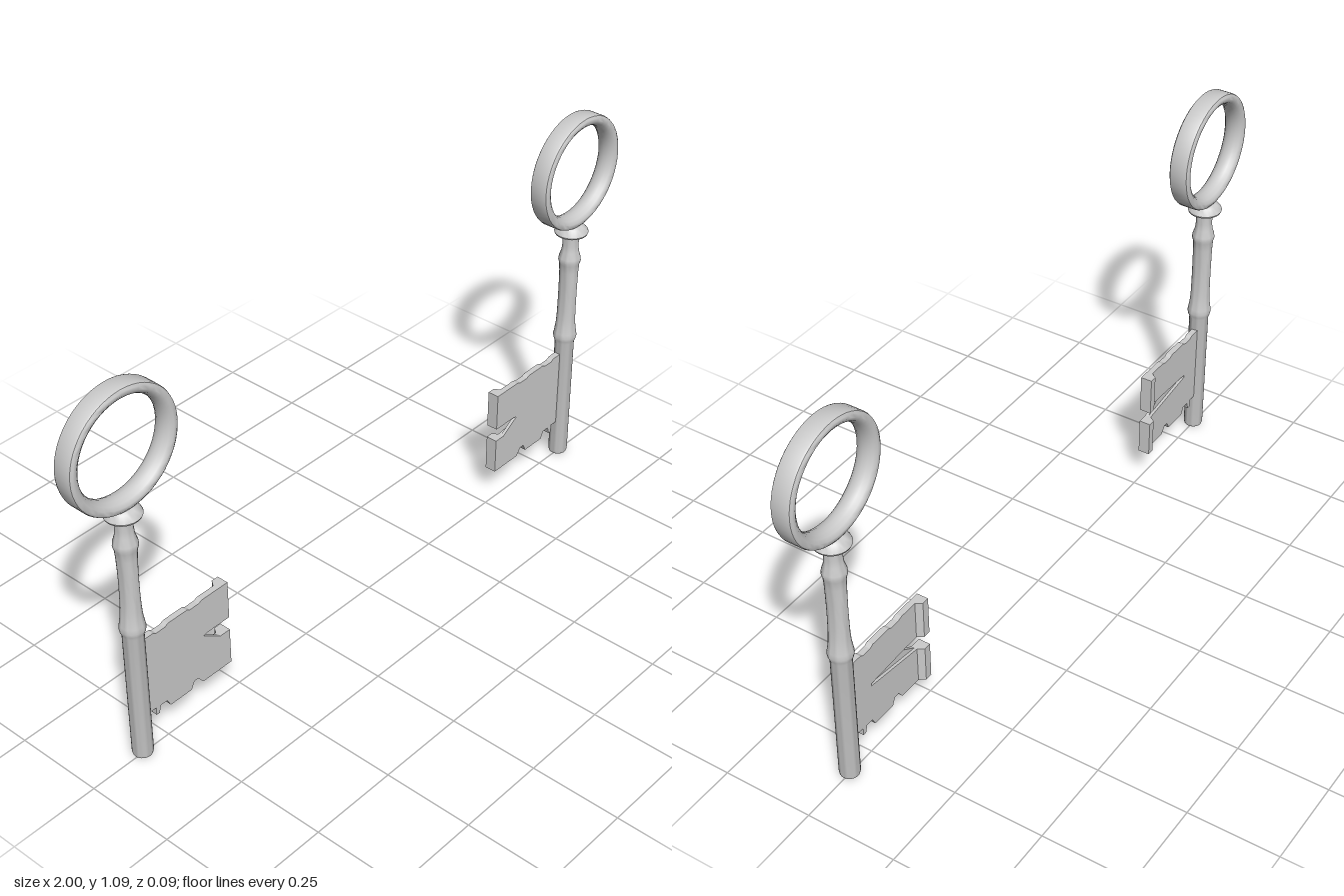
import * as THREE from 'three';
import { toCreasedNormals } from 'three/addons/utils/BufferGeometryUtils.js';

const material = new THREE.MeshStandardMaterial({ color: 0xcccccc });
const v2 = (points) => points.map(([x, y]) => new THREE.Vector2(x, y));

function addMesh(group, name, geometry, crease = 0.6) {
  const mesh = new THREE.Mesh(toCreasedNormals(geometry, crease), material);
  mesh.name = name;
  group.add(mesh);
  return mesh;
}

// Ring handle: a flat outer band with a rounded inside, turned about z
function ringGeometry() {
  const half = [[0.129, 0], [0.131, 0.012], [0.137, 0.023], [0.146, 0.029], [0.155, 0.029], [0.161, 0.025], [0.163, 0.02]];
  const lower = half.map(([r, z]) => [r, -z]);
  const upper = half.slice().reverse();
  return new THREE.LatheGeometry(v2([...lower, ...upper]), 56).rotateX(Math.PI / 2);
}

// Shaft: turned profile, hollowed gently on its two sides between the collars
function shaftGeometry() {
  const profile = [[0, 0], [0.019, 0], [0.025, 0.005], [0.027, 0.013], [0.027, 0.385], [0.031, 0.396], [0.033, 0.406], [0.031, 0.418], [0.028, 0.44]];
  for (let i = 1; i < 8; i++) profile.push([0.027, 0.44 + i * 0.025]);
  profile.push([0.028, 0.64], [0.031, 0.65], [0.03, 0.66], [0.024, 0.68], [0.022, 0.7], [0.023, 0.728]);
  const geometry = new THREE.LatheGeometry(v2(profile), 28);
  const p = geometry.attributes.position;
  for (let i = 0; i < p.count; i++) {
    const t = (p.getY(i) - 0.43) / 0.215;
    if (t > 0 && t < 1) p.setX(i, p.getX(i) * (1 - 0.18 * Math.sin(Math.PI * t)));
  }
  return geometry;
}

// Disc collar between shaft and ring
function collarGeometry() {
  return new THREE.LatheGeometry(v2([[0, 0.724], [0.023, 0.724], [0.03, 0.732], [0.045, 0.736], [0.047, 0.741],
    [0.045, 0.746], [0.034, 0.758], [0.024, 0.766], [0, 0.769]]), 28);
}

// One layer of the notched bit; slotTip is how far the side slot reaches towards the shaft
function bitLayer(dir, slot, zBack, depth) {
  const outline = [
    [0.01, 0.118], [0.048, 0.118], [0.048, 0.095], [0.058, 0.095], [0.064, 0.116], [0.085, 0.116], [0.096, 0.095],
    [0.168, 0.095], [0.178, 0.116], [0.192, 0.116], [0.208, 0.095], [0.307, 0.095], [0.307, 0.2],
    ...slot, [0.307, 0.24],
    [0.307, 0.351], [0.22, 0.351], [0.206, 0.346], [0.178, 0.346], [0.168, 0.351], [0.105, 0.351], [0.094, 0.345],
    [0.066, 0.345], [0.056, 0.351], [0.01, 0.351],
  ].map(([u, y]) => [dir * u, y]);
  return new THREE.ExtrudeGeometry(new THREE.Shape(v2(outline)), { depth, bevelEnabled: false }).translate(0, 0, zBack);
}

// Thickened lip at the free end of the bit, on the back side
function lipGeometry(dir, y0, y1) {
  const section = [[0.307, 0], [0.307, 0.027], [0.286, 0.027], [0.274, 0.01], [0.274, 0]].map(([u, z]) => [dir * u, z]);
  return new THREE.ExtrudeGeometry(new THREE.Shape(v2(section)), { depth: y1 - y0, bevelEnabled: false })
    .rotateX(-Math.PI / 2).translate(0, y0, 0);
}

// dir is the x direction in which the bit points
function createKey(name, dir) {
  const key = new THREE.Group();
  key.name = name;
  addMesh(key, 'ring', ringGeometry()).position.y = 0.925;
  addMesh(key, 'shaft', shaftGeometry());
  addMesh(key, 'collar', collarGeometry());
  // the front layer has a short slot, the back layer continues it as a groove
  addMesh(key, 'bitFront', bitLayer(dir, [[0.275, 0.2], [0.218, 0.236], [0.23, 0.24]], -0.003, 0.009), 0.3);
  addMesh(key, 'bitBack', bitLayer(dir, [[0.275, 0.2], [0.09, 0.226], [0.09, 0.233], [0.23, 0.24]], -0.011, 0.008), 0.3);
  addMesh(key, 'lowerLip', lipGeometry(dir, 0.095, 0.2), 0.3);
  addMesh(key, 'upperLip', lipGeometry(dir, 0.24, 0.351), 0.3);
  key.position.x = -dir * 0.837;
  return key;
}

export function createModel() {
  const model = new THREE.Group();
  model.name = 'keyPair';
  model.add(createKey('leftKey', -1), createKey('rightKey', 1));
  return model;
}
